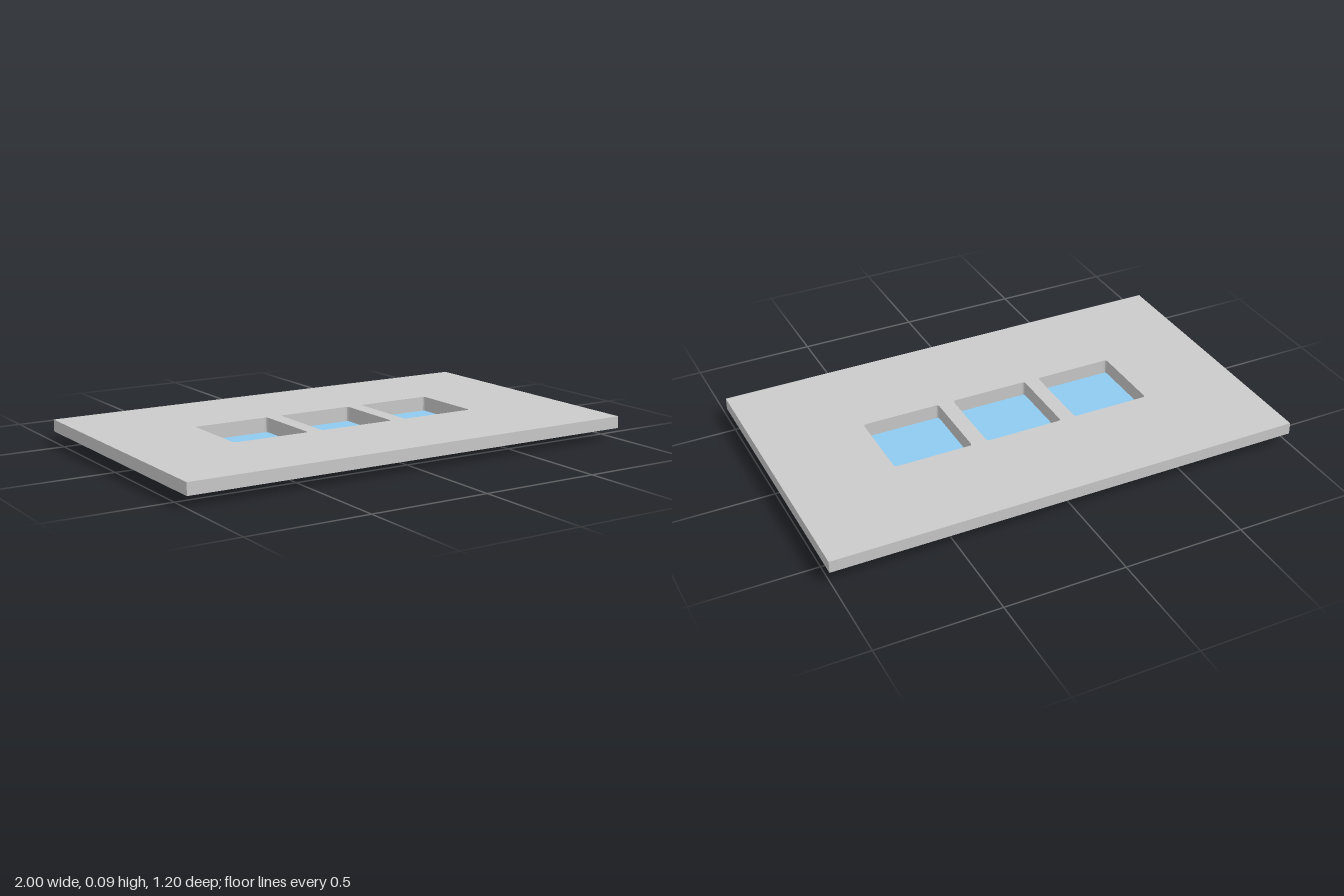
import * as THREE from 'three';

const grey = new THREE.MeshStandardMaterial({ color: 0xcccccc, flatShading: true });
const blue = new THREE.MeshStandardMaterial({ color: 0x8ecbf0, flatShading: true });

const TOP = 0.095, RIM_BOTTOM = 0.045, PANEL_BOTTOM = 0.067;
const HALF_X = 1, HALF_Z = 0.6, RIM = 0.025;
const TRAY_X = 0.603, TRAY_Z = 0.195, FLOOR = 0.022, WATER = 0.033;

function box(name, x0, x1, y0, y1, z0, z1, material = grey) {
  const mesh = new THREE.Mesh(new THREE.BoxGeometry(x1 - x0, y1 - y0, z1 - z0), material);
  mesh.position.set((x0 + x1) / 2, (y0 + y1) / 2, (z0 + z1) / 2);
  mesh.name = name;
  return mesh;
}

// Rectangle with slightly rounded corners, drawn in the ground plane
function rectangle(Type, x0, x1, z0, z1, r = 0) {
  const p = new Type();
  const a = -z1, b = -z0;
  p.moveTo(x0 + r, a);
  p.lineTo(x1 - r, a);
  if (r) p.quadraticCurveTo(x1, a, x1, a + r);
  p.lineTo(x1, b - r);
  if (r) p.quadraticCurveTo(x1, b, x1 - r, b);
  p.lineTo(x0 + r, b);
  if (r) p.quadraticCurveTo(x0, b, x0, b - r);
  p.lineTo(x0, a + r);
  if (r) p.quadraticCurveTo(x0, a, x0 + r, a);
  p.closePath();
  return p;
}

function slab(name, shape, y0, y1, material = grey) {
  const geometry = new THREE.ExtrudeGeometry(shape, { depth: y1 - y0, bevelEnabled: false, curveSegments: 3 });
  geometry.rotateX(-Math.PI / 2);
  const mesh = new THREE.Mesh(geometry, material);
  mesh.position.y = y0;
  mesh.name = name;
  return mesh;
}

export function createModel() {
  const model = new THREE.Group();
  model.name = 'windowedPanel';

  // Outer rim, deeper than the panels it surrounds
  const ix = HALF_X - RIM, iz = HALF_Z - RIM;
  const rim = rectangle(THREE.Shape, -HALF_X, HALF_X, -HALF_Z, HALF_Z);
  rim.holes.push(rectangle(THREE.Path, -ix, ix, -iz, iz));
  model.add(slab('outerRim', rim, RIM_BOTTOM, TOP));

  // Four flush panels around the tray
  model.add(
    box('leftPanel', TRAY_X, ix, PANEL_BOTTOM, TOP, -iz, iz),
    box('rightPanel', -ix, -TRAY_X, PANEL_BOTTOM, TOP, -iz, iz),
    box('frontPanel', -TRAY_X, TRAY_X, PANEL_BOTTOM, TOP, TRAY_Z, iz),
    box('backPanel', -TRAY_X, TRAY_X, PANEL_BOTTOM, TOP, -iz, -TRAY_Z),
  );

  // Sunken tray with three wells, each with a blue pane at the bottom
  const tray = rectangle(THREE.Shape, -TRAY_X, TRAY_X, -TRAY_Z, TRAY_Z);
  for (const x of [-0.407, -0.008, 0.393]) {
    const well = [x - 0.167, x + 0.167, -0.165, 0.162, 0.012];
    tray.holes.push(rectangle(THREE.Path, ...well));
    model.add(slab('bluePane', rectangle(THREE.Shape, ...well), FLOOR, WATER, blue));
  }
  model.add(slab('trayWalls', tray, FLOOR, TOP));
  model.add(box('trayFloor', -TRAY_X, TRAY_X, 0, FLOOR, -TRAY_Z, TRAY_Z));

  return model;
}
